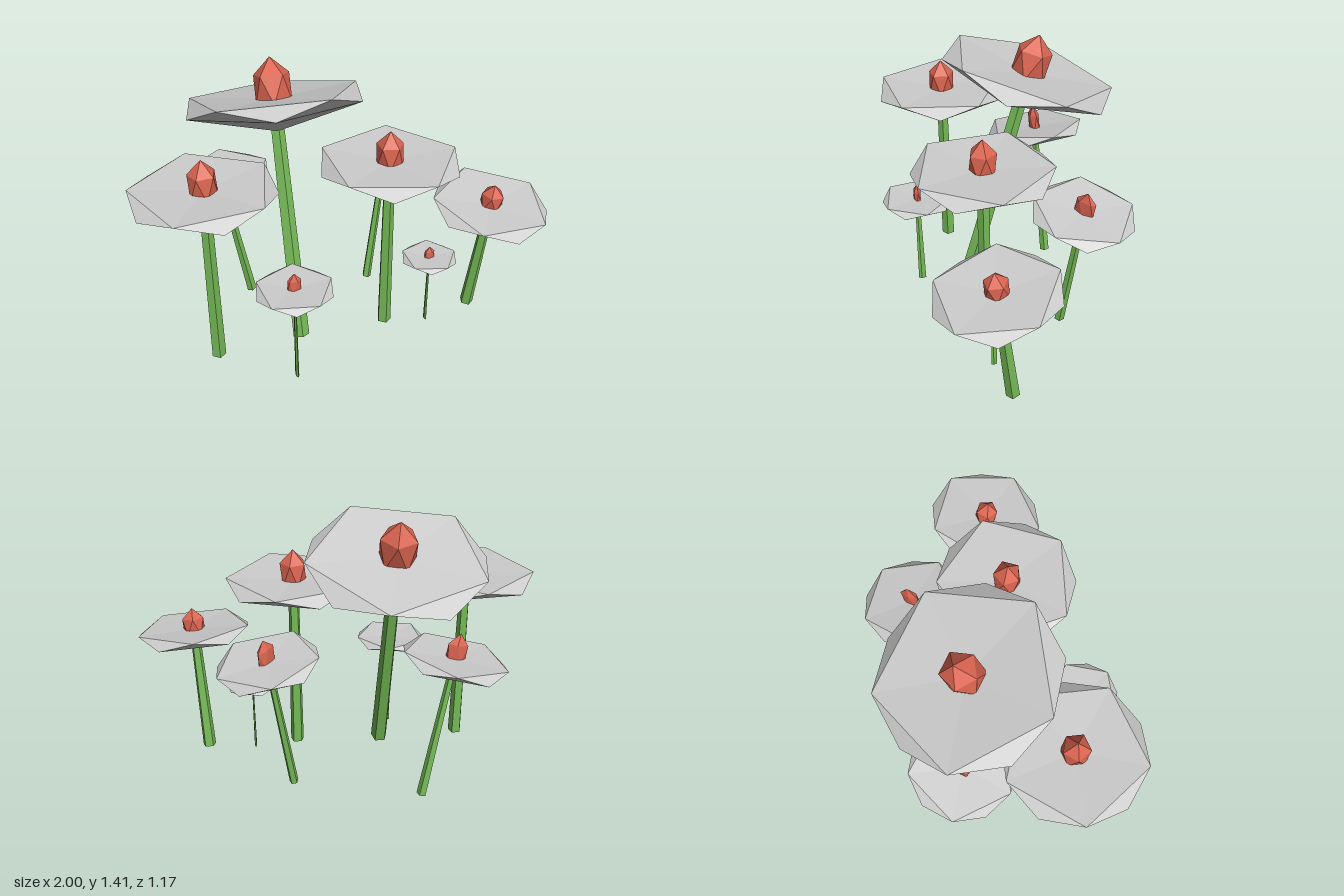
import * as THREE from 'three';

const material = (name, color) => {
  const m = new THREE.MeshStandardMaterial({ color });
  m.name = name;
  return m;
};

// Twenty-sided solid: top point, two staggered rings of five, bottom point
function facetedSolid(radius, phase, top, ring, bottom) {
  const at = (deg, y) => {
    const a = THREE.MathUtils.degToRad(deg);
    return [radius * Math.cos(a), y, radius * Math.sin(a)];
  };
  const T = [0, top, 0], B = [0, bottom, 0], points = [];
  for (let i = 0; i < 5; i++) {
    const a = phase + i * 72;
    const u0 = at(a, ring), u1 = at(a + 72, ring);
    const l0 = at(a + 36, -ring), l1 = at(a + 108, -ring);
    points.push(T, u1, u0, u0, u1, l0, l0, u1, l1, B, l0, l1);
  }
  const g = new THREE.BufferGeometry();
  g.setAttribute('position', new THREE.Float32BufferAttribute(points.flat(), 3));
  g.computeVertexNormals();
  return g;
}

// base: foot of the stem, cap: middle of the cap, r: cap radius,
// stem: [bottom radius, top radius, x squash, z squash],
// bud: [radius, half height, lift, z squash, turn in degrees]
const FLOWERS = [
  { name: 'leftTall', base: [-0.68, 0.04, 0.17], cap: [-0.68, 0.988, 0.17], r: 0.335, phase: -22,
    stem: [0.036, 0.028, 1, 1], bud: [0.066, 0.125, 0.035, 1, 0] },
  { name: 'rightTall', base: [0.2, 0.04, 0.18], cap: [0.2, 0.988, 0.18], r: 0.335, phase: 0,
    stem: [0.036, 0.028, 1, 1], bud: [0.066, 0.125, 0.035, 1, 0] },
  { name: 'giant', base: [-0.25, 0.04, 0.16], cap: [-0.255, 1.215, -0.18], r: 0.43, phase: -5,
    stem: [0.044, 0.034, 1, 1], bud: [0.09, 0.15, 0.055, 1, 0] },
  { name: 'farRight', base: [0.68, 0.04, 0.18], cap: [0.715, 0.7, 0.262], r: 0.29, phase: -20,
    stem: [0.035, 0.026, 1, 1], bud: [0.056, 0.09, 0.025, 1, 0] },
  { name: 'backLeft', base: [-0.39, 0.007, -0.34], cap: [-0.522, 0.755, -0.308], r: 0.257, phase: -6,
    stem: [0.026, 0.018, 1, 1], bud: [0.05, 0.1, 0.03, 0.55, 0] },
  { name: 'backRight', base: [0.245, 0.04, -0.205], cap: [0.355, 0.765, -0.262], r: 0.25, phase: -20,
    stem: [0.026, 0.019, 0.9, 1], bud: [0.052, 0.09, 0.03, 0.4, 42] },
  { name: 'smallFront', base: [-0.34, 0, 0.4], cap: [-0.34, 0.53, 0.4], r: 0.184, phase: -5,
    stem: [0.022, 0.014, 0.4, 1], bud: [0.034, 0.07, 0.02, 0.55, 0] },
  { name: 'tinyFront', base: [0.43, 0, 0.2], cap: [0.43, 0.4, 0.2], r: 0.14, phase: 0,
    stem: [0.016, 0.011, 0.4, 1], bud: [0.027, 0.05, 0.014, 0.55, 0] },
];

export function createModel() {
  const green = material('stemGreen', 0x76ba57);
  const grey = material('capGrey', 0xcccccc);
  const red = material('budRed', 0xdb6450);
  const model = new THREE.Group();
  model.name = 'flowerCluster';
  const up = new THREE.Vector3(0, 1, 0);

  for (const f of FLOWERS) {
    const base = new THREE.Vector3(...f.base);
    const axis = new THREE.Vector3(...f.cap).sub(base);
    const height = axis.length();

    // Whole flower leans along its stem
    const flower = new THREE.Group();
    flower.name = f.name + 'Flower';
    flower.position.copy(base);
    flower.quaternion.setFromUnitVectors(up, axis.normalize());

    // Tapered five-sided stem, ending just inside the cap
    const [bottomR, topR, sx, sz] = f.stem;
    const stemLength = height - f.r * 0.25;
    const stemShape = new THREE.CylinderGeometry(topR, bottomR, stemLength, 5).toNonIndexed();
    stemShape.computeVertexNormals();
    const stem = new THREE.Mesh(stemShape, green);
    stem.name = 'stem';
    stem.position.y = stemLength / 2;
    stem.scale.set(sx, 1, sz);

    // Shallow dished cap with a pointed underside
    const cap = new THREE.Mesh(facetedSolid(f.r, f.phase, f.r * 0.015, f.r * 0.07, -f.r * 0.355), grey);
    cap.name = 'cap';
    cap.position.y = height;

    // Pointed bud in the middle of the cap
    const [r, half, lift, squash, turn] = f.bud;
    const bud = new THREE.Mesh(facetedSolid(r, f.phase, half, half * 0.447, -half * 0.8), red);
    bud.name = 'bud';
    bud.position.y = height + lift;
    bud.rotation.y = THREE.MathUtils.degToRad(turn);
    bud.scale.z = squash;

    flower.add(stem, cap, bud);
    model.add(flower);
  }
  return model;
}
